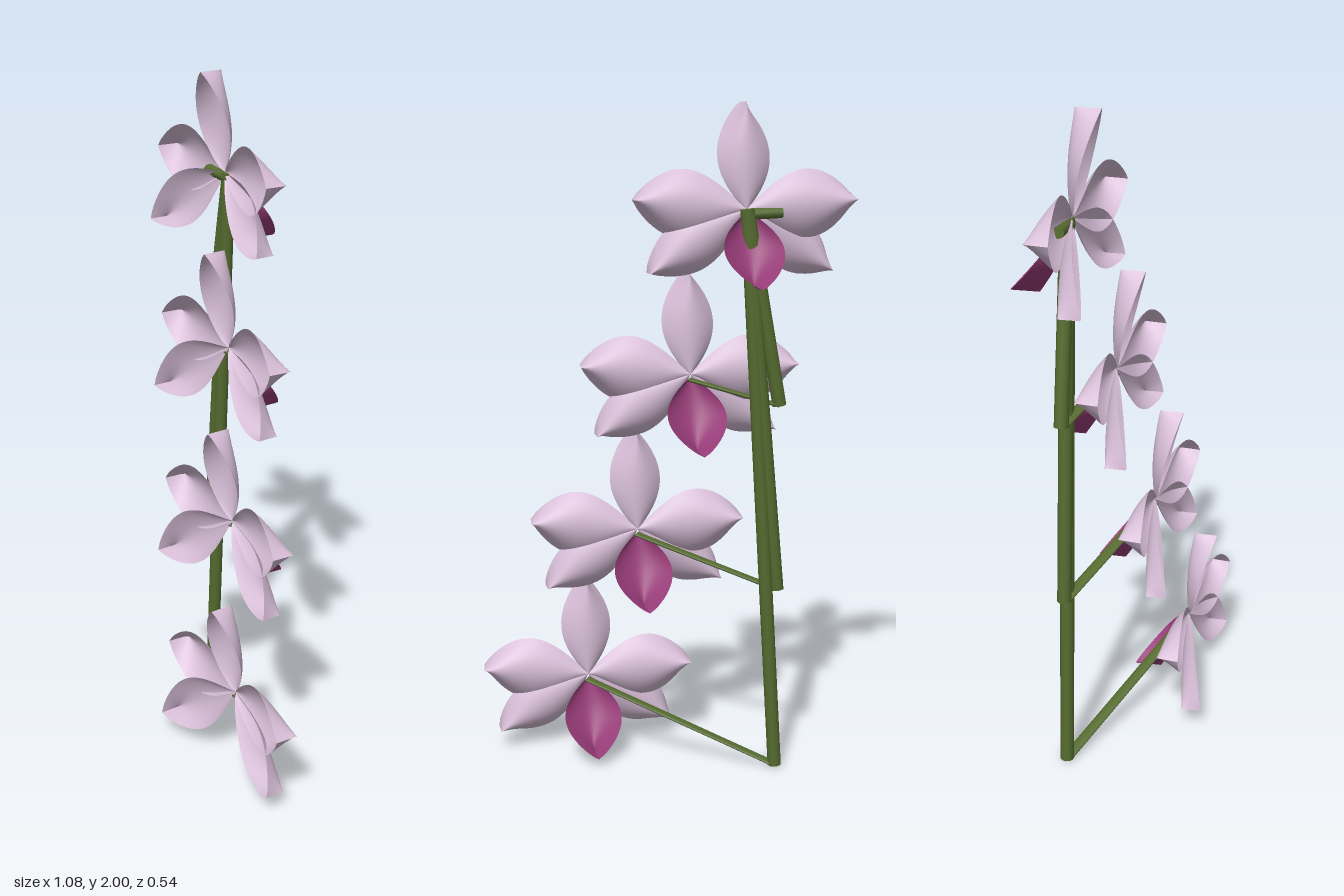
import * as THREE from 'three';

const petalMat = new THREE.MeshStandardMaterial({ color: 0xd8bfd8, side: THREE.DoubleSide });
petalMat.name = 'palePetal';
const lipMat = new THREE.MeshStandardMaterial({ color: 0x993d7a, side: THREE.DoubleSide });
lipMat.name = 'magentaLip';
const stemMat = new THREE.MeshStandardMaterial({ color: 0x556b2f });
stemMat.name = 'oliveStem';

// Cupped petal growing along +y: the margins curl towards z, more so at the tip
function petalGeometry({ length, half, cup, tip, dip, skew }) {
  const g = new THREE.PlaneGeometry(2, 1, 16, 24);
  const p = g.attributes.position;
  for (let i = 0; i < p.count; i++) {
    const u = p.getX(i);
    const v = p.getY(i) + 0.5;
    const w = half * Math.pow(Math.max(0, Math.sin(Math.PI * Math.pow(v, skew))), 0.8);
    const bend = tip * v - dip * Math.sin(Math.PI * v);
    p.setXYZ(i, u * w, length * v, bend + cup * Math.pow(v, 0.6) * u * u);
  }
  g.computeVertexNormals();
  return g;
}

const dorsalGeo = petalGeometry({ length: 0.3, half: 0.078, cup: 0.072, tip: 0.015, dip: 0.012, skew: 1 });
const sideGeo = petalGeometry({ length: 0.325, half: 0.098, cup: 0.068, tip: -0.012, dip: 0.008, skew: 1.2 });
const sepalGeo = petalGeometry({ length: 0.33, half: 0.08, cup: 0.06, tip: 0.03, dip: 0.008, skew: 1.15 });
const lipGeo = petalGeometry({ length: 0.205, half: 0.088, cup: -0.085, tip: -0.09, dip: -0.015, skew: 1 });

function add(parent, name, geo, mat) {
  const m = new THREE.Mesh(geo, mat);
  m.name = name;
  parent.add(m);
  return m;
}

// Rod between two points with separate horizontal and vertical radii
function rod(parent, name, a, b, rx, ry) {
  const geo = new THREE.CylinderGeometry(1, 1, a.distanceTo(b), 10);
  geo.rotateX(Math.PI / 2);
  geo.scale(rx, ry, 1);
  const m = add(parent, name, geo, stemMat);
  m.position.copy(a).add(b).multiplyScalar(0.5);
  m.lookAt(b);
  return m;
}

function createFlower() {
  const f = new THREE.Group();
  f.name = 'flower';
  add(f, 'dorsalSepal', dorsalGeo, petalMat);
  for (const s of [1, -1]) {
    const side = s > 0 ? 'left' : 'right';
    add(f, side + 'Petal', sideGeo, petalMat).rotation.set(0, -0.1, -s * 1.49);
    add(f, side + 'LowerSepal', sepalGeo, petalMat).rotation.set(0, 0, -s * 2.16);
  }
  // Lip hangs down and sweeps backward
  const lipMesh = add(f, 'lip', lipGeo, lipMat);
  lipMesh.rotation.z = Math.PI;
  lipMesh.position.y = -0.01;
  return f;
}

export function createModel() {
  const model = new THREE.Group();
  model.name = 'orchidSpray';
  const top = new THREE.Vector3(-0.212, 1.7, -0.105);

  for (let i = 0; i < 4; i++) {
    const flower = createFlower();
    flower.position.set(-0.213 + 0.142 * i, 1.7 - 0.485 * i, -0.095 + 0.09 * i);
    model.add(flower);

    // Each node carries a flower stalk and a stem strand running to the top
    const node = new THREE.Vector3(-0.315, 1.69 - 0.56 * i, -0.105);
    const end = flower.position.clone().add(new THREE.Vector3(0.005, -0.015, -0.005));
    rod(model, 'flowerStalk', node, end, 0.018, i === 0 ? 0.016 : 0.006);
    if (i > 0) rod(model, 'stem', node, top, 0.021, 0.021);
  }
  return model;
}
